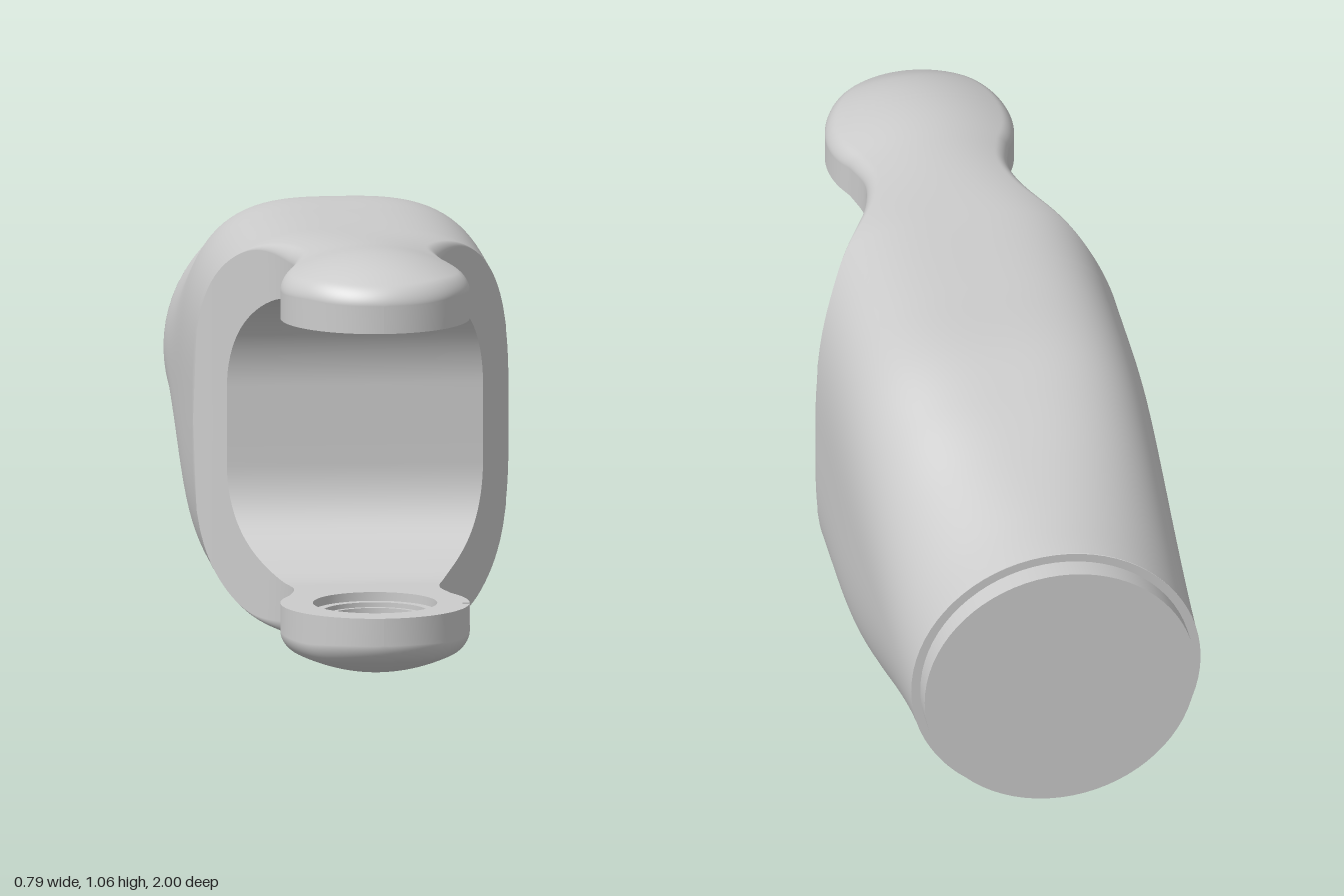
import * as THREE from 'three';
import { mergeVertices, toCreasedNormals } from 'three/addons/utils/BufferGeometryUtils.js';

const { smoothstep, clamp, lerp } = THREE.MathUtils;
const MID = 0.5275;                 // height of the symmetry plane
const HEAD_Z = 0.76, HEAD_R = 0.236; // round ear at the end of each arm
const SLOT_H = 0.36;                // half height of the fork slot

// Smooth curve y(x) through a few points
function curve(pts) {
  const m = pts.map((p, i) => {
    const a = pts[Math.max(i - 1, 0)], b = pts[Math.min(i + 1, pts.length - 1)];
    return (b[1] - a[1]) / (b[0] - a[0]);
  });
  return x => {
    let i = 0;
    while (i < pts.length - 2 && x > pts[i + 1][0]) i++;
    const [x0, y0] = pts[i], [x1, y1] = pts[i + 1], d = x1 - x0;
    const t = clamp((x - x0) / d, 0, 1), s = 1 - t;
    return y0 * (1 + 2 * t) * s * s + m[i] * d * t * s * s
      + y1 * t * t * (3 - 2 * t) - m[i + 1] * d * t * t * s;
  };
}

const bodyHalfWidth = curve([[-0.945, 0.367], [-0.6, 0.382], [-0.2, 0.395], [0.12, 0.395], [1, 0.395]]);
const bodyHalfHeight = curve([[-0.945, 0.37], [-0.8, 0.384], [-0.6, 0.418], [-0.4, 0.464], [-0.22, 0.498],
  [0, 0.503], [0.3, 0.508], [0.6, 0.521], [0.77, 0.528], [0.9, 0.509], [1, 0.458]]);
const neck = curve([[0.12, 0.395], [0.19, 0.345], [0.265, 0.3], [0.395, 0.222], [0.49, 0.189],
  [0.555, 0.183], [0.64, 0.203]]);

// Half width of the plan outline
function width(z) {
  if (z <= 0.12) return bodyHalfWidth(z);
  if (z < 0.64) return neck(z);
  return Math.sqrt(Math.max(0, HEAD_R ** 2 - (z - HEAD_Z) ** 2));
}

// Outer surface height above the symmetry plane
function outer(x, z) {
  const n = 2 + 1.4 * smoothstep(z, -0.95, 0), b = bodyHalfHeight(z);
  const barrel = b * Math.pow(Math.max(0, 1 - Math.pow(Math.abs(x) / bodyHalfWidth(z), n)), 1 / n);
  const dome = b - 1.2 * x * x;
  const h = lerp(barrel, dome, smoothstep(z, 0.3, 0.65));
  // rounded rim along the arm
  const r = 0.03 * smoothstep(z, 0.25, 0.5);
  const edge = z < HEAD_Z ? width(z) - Math.abs(x) : HEAD_R - Math.hypot(x, z - HEAD_Z);
  const d = clamp(r - edge, 0, r);
  return h - (r - Math.sqrt(r * r - d * d));
}

// Grid surface from f(i, j) -> [x, y, z]
function grid(nu, nv, f, flip = false) {
  const pos = [], idx = [];
  for (let i = 0; i < nu; i++) for (let j = 0; j < nv; j++) pos.push(...f(i, j));
  for (let i = 0; i < nu - 1; i++) for (let j = 0; j < nv - 1; j++) {
    const a = i * nv + j, b = a + nv, c = a + 1, d = b + 1;
    if (flip) idx.push(a, c, b, b, c, d); else idx.push(a, b, c, b, d, c);
  }
  const g = new THREE.BufferGeometry();
  g.setAttribute('position', new THREE.Float32BufferAttribute(pos, 3));
  g.setIndex(idx);
  return g;
}

// Inner edge path [z, h]: solid shoulder, slot end, rounded corner, flat arm, ear
function slotPath() {
  const solid = [], slot = [], arm = [];
  for (let i = 0; i <= 10; i++) solid.push([0.12 + 0.011 * i, 0]);
  slot.push([0.23, 0], [0.23, 0.05]);
  for (let i = 0; i <= 20; i++) {
    const a = i / 20 * Math.PI / 2;
    slot.push([0.48 - 0.25 * Math.cos(a), 0.1 + 0.26 * Math.sin(a)]);
  }
  const zs = [0.779, 0.78, 0.8, 0.801];
  for (let i = 0; i < 20; i++) zs.push(0.48 + 0.014 * i);
  for (let i = 0; i <= 28; i++) zs.push(HEAD_Z + HEAD_R * Math.sin(i / 28 * Math.PI / 2));
  zs.sort((a, b) => a - b).forEach(z => arm.push([z, SLOT_H]));
  return { solid, slot, arm };
}

function addMesh(group, name, geometry, material) {
  const mesh = new THREE.Mesh(geometry, material);
  mesh.name = name;
  group.add(mesh);
  return mesh;
}

// One half of the fork, measured from the symmetry plane upward
function forkHalf(name, notched, material) {
  const half = new THREE.Group();
  half.name = name;
  const { solid, slot, arm } = slotPath();
  const path = [...solid, ...slot, ...arm];
  const notch = (z, side) => (notched && side < 0 && z > 0.7795 && z < 0.8005 ? 0.018 : 0);

  // Outer skin
  const zs = [];
  for (let i = 0; i < 48; i++) zs.push(-0.945 + 1.065 * i / 48);
  path.forEach(([z]) => { if (!zs.length || z > zs[zs.length - 1] + 1e-5) zs.push(z); });
  const N = 36;
  const skin = mergeVertices(grid(zs.length, 2 * N + 1, (i, j) => {
    const t = j / N - 1, z = zs[i];
    const x = width(z) * Math.sign(t) * (1 - Math.pow(1 - Math.abs(t), 3.4));
    return [x, outer(x, z), z];
  }), 1e-5);
  skin.computeVertexNormals();
  addMesh(half, 'outerSkin', skin, material);

  // Side walls of shoulder, neck and ear
  for (const side of [-1, 1]) {
    const wall = grid(path.length, 4, (i, j) => {
      const [z, h] = path[i], w = width(z), top = outer(w, z);
      const mid = Math.min(h + 0.055, top);
      return [side * (w - (j < 2 ? notch(z, side) : 0)), [h, mid, mid, top][j], z];
    }, side > 0);
    addMesh(half, 'sideWall', toCreasedNormals(wall, 0.6), material);
  }

  // Curved end of the slot
  const end = grid(slot.length, 2, (i, j) => {
    const [z, h] = slot[i];
    return [(j ? 1 : -1) * width(z), h, z];
  }, true);
  end.computeVertexNormals();
  addMesh(half, 'slotEnd', end, material);

  // Flat inner face of the arm with the bearing hole
  const outline = side => arm.map(([z]) => new THREE.Vector2(side * (width(z) - notch(z, side)), z));
  const face = new THREE.Shape([...outline(1), ...outline(-1).reverse().slice(1)]);
  face.holes.push(new THREE.Path().absarc(0, HEAD_Z, 0.155, 0, Math.PI * 2, true));
  const faceMesh = addMesh(half, 'armInnerFace', new THREE.ShapeGeometry(face, 32).rotateX(Math.PI / 2), material);
  faceMesh.position.y = SLOT_H;

  // Stepped bearing pocket
  const profile = [[0.155, 0], [0.155, 0.022], [0.132, 0.022], [0.132, 0.034], [0.12, 0.034], [0.12, 0.08], [0, 0.08]]
    .map(p => new THREE.Vector2(...p));
  const pocket = addMesh(half, 'bearingPocket',
    toCreasedNormals(new THREE.LatheGeometry(profile, 64), 0.5), material);
  pocket.position.set(0, SLOT_H, HEAD_Z);
  return half;
}

export function createModel() {
  const model = new THREE.Group();
  model.name = 'forkEnd';
  const material = new THREE.MeshStandardMaterial({ color: 0xcccccc, side: THREE.DoubleSide });

  // Upper half, and the lower half turned about the long axis
  const upper = forkHalf('upperHalf', false, material);
  const lower = forkHalf('lowerHalf', true, material);
  lower.rotation.z = Math.PI;
  for (const half of [upper, lower]) {
    half.position.y = MID;
    model.add(half);
  }

  // Rear shoulder and collar
  const shoulder = addMesh(model, 'rearShoulder', new THREE.CircleGeometry(0.368, 72), material);
  shoulder.rotation.y = Math.PI;
  shoulder.position.set(0, MID, -0.945);
  const collar = addMesh(model, 'rearCollar', new THREE.CylinderGeometry(0.345, 0.345, 0.06, 72), material);
  collar.rotation.x = Math.PI / 2;
  collar.position.set(0, MID, -0.97);
  return model;
}
